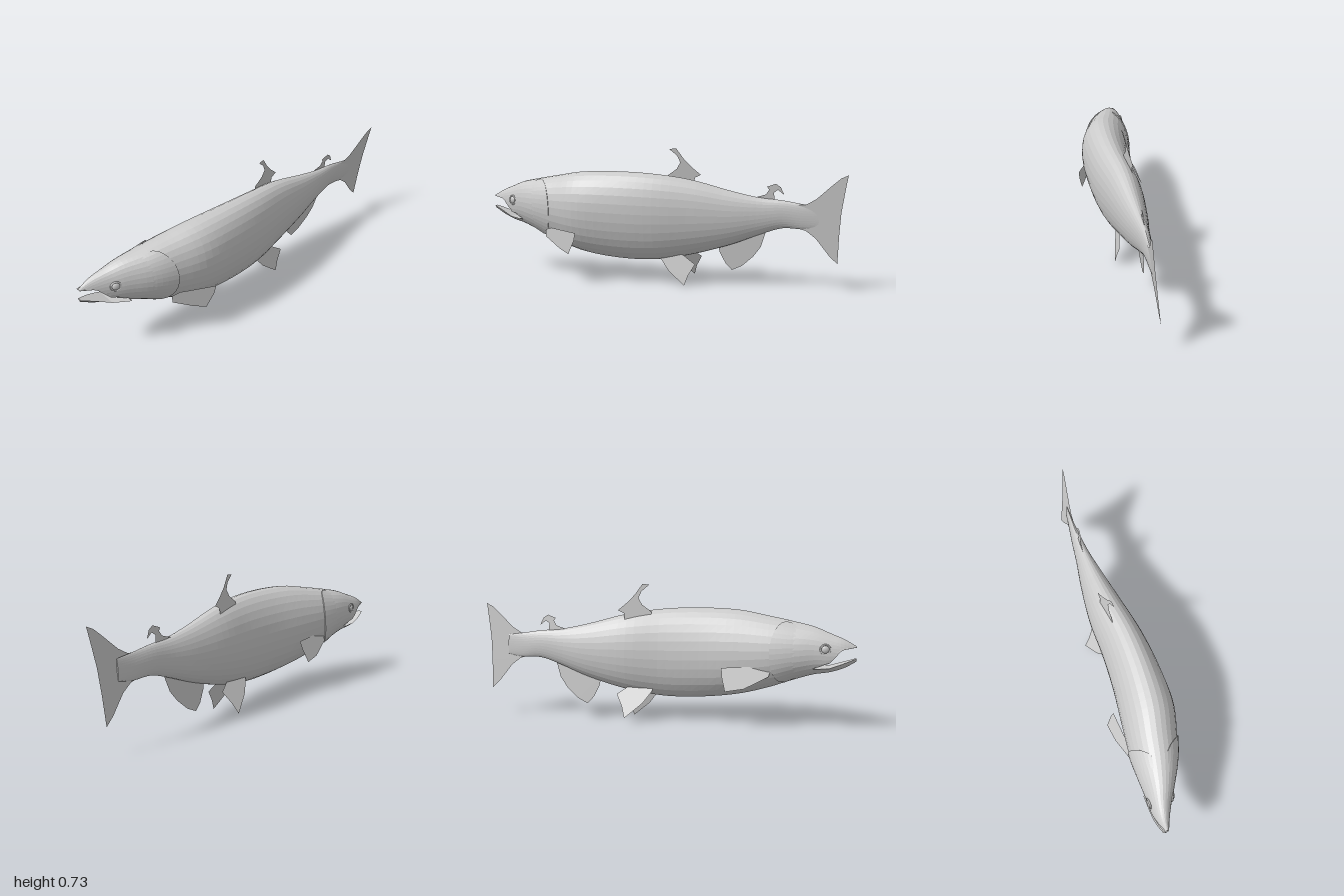
import * as THREE from 'three';

const SEGMENTS = 30;
const TILT = 0.08; // the body leans slightly about its length

// Body stations, snout to tail: x, top y, bottom y, min z, max z
const STATIONS = [
  [-1.0, 0.437, 0.36, -0.1, -0.075],
  [-0.94, 0.47, 0.325, -0.12, -0.05],
  [-0.87, 0.497, 0.3, -0.128, -0.015],
  [-0.79, 0.527, 0.283, -0.132, 0.03],
  [-0.68, 0.55, 0.245, -0.14, 0.085],
  [-0.56, 0.572, 0.2, -0.138, 0.12],
  [-0.4, 0.598, 0.155, -0.125, 0.155],
  [-0.2, 0.605, 0.13, -0.108, 0.148],
  [0.0, 0.596, 0.13, -0.105, 0.122],
  [0.2, 0.567, 0.165, -0.115, 0.077],
  [0.4, 0.515, 0.225, -0.103, 0.03],
  [0.55, 0.483, 0.285, -0.085, -0.005],
  [0.67, 0.472, 0.325, -0.075, -0.025],
  [0.78, 0.455, 0.325, -0.062, -0.038],
  [0.86, 0.445, 0.34, -0.053, -0.045],
];
const LAST = STATIONS.length - 1;
const MOUTH = 3; // station of the mouth corner

const spline = (a, b) => new THREE.CatmullRomCurve3(
  STATIONS.map((s) => new THREE.Vector3(s[0], s[a], s[b])), false, 'catmullrom');
const heights = spline(1, 2);
const widths = spline(3, 4);

// Point on the skin at station t; angle 0 is the back, positive turns to +z
function skin(t, angle, scale = 1) {
  const h = heights.getPoint(t / LAST);
  const w = widths.getPoint(t / LAST);
  const dy = Math.cos(angle) * (h.y - h.z) / 2 * scale;
  const dz = Math.sin(angle) * (w.z - w.y) / 2 * scale;
  return new THREE.Vector3(h.x, (h.y + h.z) / 2 + dy, (w.y + w.z) / 2 + dz + TILT * dy);
}

// Surface through rows of points
function surface(rows) {
  const n = rows[0].length;
  const index = [];
  for (let i = 0; i < rows.length - 1; i++) {
    for (let j = 0; j < n - 1; j++) {
      const a = i * n + j;
      index.push(a, a + 1, a + n, a + 1, a + n + 1, a + n);
    }
  }
  const geometry = new THREE.BufferGeometry().setFromPoints(rows.flat());
  geometry.setIndex(index);
  geometry.computeVertexNormals();
  return geometry;
}

// Closed tube of skin between two stations, with y optionally limited
function loft(t0, t1, steps, limit = (x, y) => y) {
  const rows = [];
  for (let i = 0; i <= steps; i++) {
    const t = t0 + (t1 - t0) * i / steps;
    const row = [];
    for (let j = 0; j <= SEGMENTS; j++) {
      const p = skin(t, j / SEGMENTS * Math.PI * 2);
      p.y = limit(p.x, p.y);
      row.push(p);
    }
    rows.push(row);
  }
  const cap = (row) => {
    const c = new THREE.Vector3();
    row.slice(1).forEach((p) => c.addScaledVector(p, 1 / SEGMENTS));
    return row.map(() => c.clone());
  };
  return surface([cap(rows[0]), ...rows, cap(rows[steps])]);
}

// Piecewise linear height along x
function along(points, x) {
  for (let i = 1; i < points.length; i++) {
    const [x0, y0] = points[i - 1];
    const [x1, y1] = points[i];
    if (x <= x1 || i === points.length - 1) {
      return y0 + (y1 - y0) * THREE.MathUtils.clamp((x - x0) / (x1 - x0), 0, 1);
    }
  }
}

export function createModel() {
  const model = new THREE.Group();
  const skinMaterial = new THREE.MeshStandardMaterial({ color: 0xcccccc, flatShading: true });
  const thinMaterial = new THREE.MeshStandardMaterial({
    color: 0xcccccc, flatShading: true, side: THREE.DoubleSide });
  const smoothMaterial = new THREE.MeshStandardMaterial({ color: 0xcccccc });

  const add = (name, geometry, material = skinMaterial, parent = model) => {
    const mesh = new THREE.Mesh(geometry, material);
    mesh.name = name;
    parent.add(mesh);
    return mesh;
  };

  // Trunk and open jaws
  add('body', loft(MOUTH, LAST, 50));
  const upperLip = [[-1, 0.432], [-0.93, 0.42], [-0.87, 0.352], [-0.79, 0.32]];
  const lowerLip = [[-1, 0.375], [-0.87, 0.326], [-0.79, 0.32]];
  add('upperJaw', loft(0, MOUTH, 12, (x, y) => Math.max(y, along(upperLip, x))));
  add('lowerJaw', loft(0, MOUTH, 12, (x, y) => Math.min(y, along(lowerLip, x))));

  for (const side of [1, -1]) {
    const label = side > 0 ? 'left' : 'right';

    // Gill cover: a raised plate whose curved rear edge folds back to the skin
    const rows = [];
    for (let i = 0; i <= 7; i++) {
      const v = Math.min(i / 6, 1);
      const scale = i === 7 ? 0.97 : 0.985 + 0.055 * v;
      const row = [];
      for (let j = 0; j <= 16; j++) {
        const u = j / 16;
        const edge = 4.25 + 0.68 * Math.pow(Math.sin(Math.PI * u), 0.7);
        row.push(skin(3.6 + (edge - 3.6) * v, side * (0.35 + 2.4 * u), scale));
      }
      rows.push(row);
    }
    add(label + 'GillCover', surface(rows), thinMaterial);

    // Eye with a raised rim
    const eye = new THREE.Group();
    eye.name = label + 'Eye';
    eye.position.copy(skin(2.3, side * 1.37, 0.98));
    eye.rotation.y = side > 0 ? -0.4 : 0.1;
    add('eyeball', new THREE.SphereGeometry(0.02, 14, 10), smoothMaterial, eye).scale.z = 0.5;
    add('eyeRim', new THREE.TorusGeometry(0.024, 0.005, 6, 18), smoothMaterial, eye);
    model.add(eye);
  }

  // Thin fin: outline in x and y, leaned by a rule for z
  const fin = (name, outline, lean) => {
    const geometry = new THREE.ShapeGeometry(
      new THREE.Shape(outline.map(([x, y]) => new THREE.Vector2(x, y))));
    const p = geometry.attributes.position;
    for (let i = 0; i < p.count; i++) p.setZ(i, lean(p.getX(i), p.getY(i)));
    geometry.computeVertexNormals();
    add(name, geometry, thinMaterial);
  };

  // Fins on the centre line
  fin('tailFin', [[0.74, 0.45], [0.79, 0.455], [0.84, 0.485], [0.92, 0.56], [0.96, 0.595],
    [0.995, 0.612], [0.98, 0.52], [0.965, 0.42], [0.957, 0.3], [0.952, 0.15], [0.91, 0.19],
    [0.84, 0.28], [0.79, 0.318], [0.74, 0.33]],
  (x, y) => -0.045 + 0.12 * (y - 0.385));
  fin('dorsalFin', [[0.06, 0.55], [0.06, 0.583], [0.11, 0.62], [0.13, 0.655], [0.115, 0.69],
    [0.075, 0.725], [0.11, 0.73], [0.15, 0.672], [0.19, 0.63], [0.237, 0.59], [0.205, 0.575],
    [0.2, 0.54]],
  (x, y) => -0.025 - 0.15 * (x - 0.06) + 0.12 * (y - 0.58));
  fin('adiposeFin', [[0.53, 0.46], [0.53, 0.482], [0.585, 0.5], [0.6, 0.525], [0.59, 0.54],
    [0.635, 0.557], [0.66, 0.54], [0.678, 0.5], [0.645, 0.526], [0.625, 0.51], [0.63, 0.46]],
  (x, y) => -0.045 + 0.15 * (y - 0.48));
  fin('analFin', [[0.33, 0.23], [0.34, 0.18], [0.37, 0.12], [0.405, 0.083], [0.46, 0.11],
    [0.52, 0.165], [0.56, 0.22], [0.585, 0.3], [0.5, 0.29]],
  (x, y) => -0.055 + 0.13 * (y - 0.25));

  // Paired fins, each side posed on its own
  const pelvic = [[0.03, 0.165], [0.035, 0.14], [0.08, 0.08], [0.17, 0.005], [0.19, 0.06],
    [0.225, 0.12], [0.16, 0.165], [0.1, 0.185]];
  fin('leftPelvicFin', pelvic, (x, y) => 0.01 + 0.16 * (0.16 - y));
  fin('rightPelvicFin', pelvic.map(([x, y]) => [x + 0.01, y + 0.025]),
    (x, y) => -0.07 - 0.56 * (0.19 - y));
  fin('leftPectoralFin', [[-0.6, 0.28], [-0.56, 0.293], [-0.39, 0.283], [-0.4, 0.24],
    [-0.44, 0.163], [-0.5, 0.185], [-0.6, 0.24]],
  (x) => 0.09 + 0.42 * (x + 0.6));
  fin('rightPectoralFin', [[-0.58, 0.31], [-0.53, 0.325], [-0.33, 0.315], [-0.335, 0.27],
    [-0.355, 0.2], [-0.45, 0.215], [-0.57, 0.275]],
  (x, y) => -0.125 - 0.1 * (x + 0.57) + 0.4 * (y - 0.31));

  return model;
}
